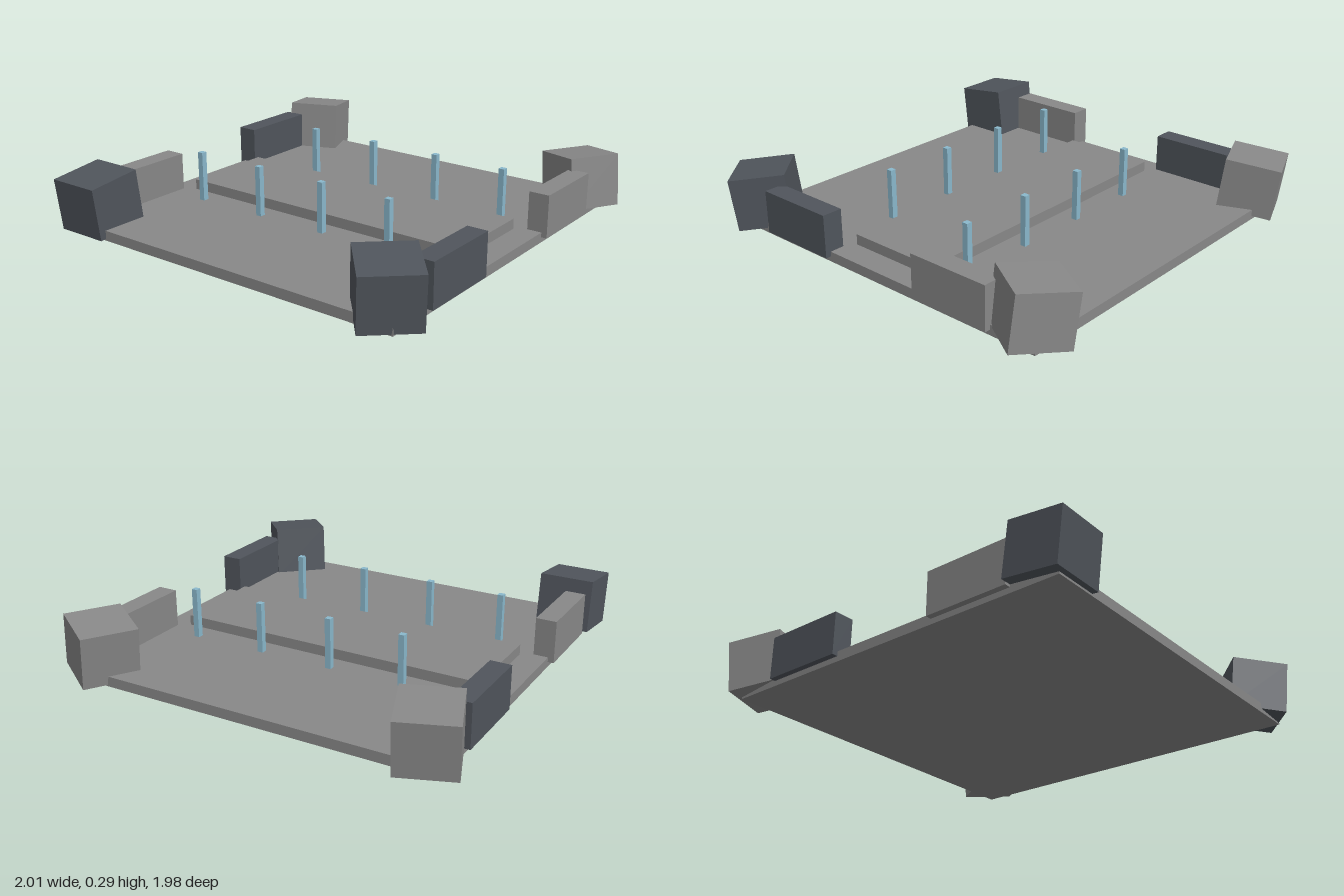
import * as THREE from 'three';

const material = (color) => new THREE.MeshStandardMaterial({ color, flatShading: true });

export function createModel() {
  const model = new THREE.Group();
  model.name = 'courtyard';
  const grey = material(0x888888);
  const dark = material(0x50555c);
  const blue = material(0x8ab8cc);

  // Adds a box given its size and centre
  const addBox = (name, size, centre, mat) => {
    const mesh = new THREE.Mesh(new THREE.BoxGeometry(...size), mat);
    mesh.name = name;
    mesh.position.set(...centre);
    model.add(mesh);
    return mesh;
  };

  // Ground slab and raised central walkway
  addBox('floor', [1.785, 0.048, 1.78], [0.002, 0.024, -0.015], grey);
  addBox('walkway', [0.465, 0.055, 1.532], [0.003, 0.07, -0.014], grey);

  // Low walls beside the front and back openings: x, z, material
  const walls = [
    [-0.462, -0.884, grey], [0.47, -0.884, dark],
    [-0.462, 0.853, dark], [0.47, 0.853, grey],
  ];
  for (const [x, z, mat] of walls) {
    addBox('wall', [0.4, 0.203, 0.098], [x, 0.127, z], mat);
  }

  // Leaning corner blocks: x, z, yaw, material
  const blocks = [
    [-0.805, -0.826, 0, dark],
    [-0.807, 0.791, 0.727, dark],
    [0.823, -0.826, -2.776, grey],
    [0.818, 0.791, -2.125, grey],
  ];
  for (const [x, z, yaw, mat] of blocks) {
    const block = addBox('cornerBlock', [0.26, 0.25, 0.26], [x, 0.146, z], mat);
    block.rotation.set(0, yaw, 0.12, 'YXZ');
  }

  // Two staggered rows of slim posts
  for (const [x, firstZ] of [[-0.318, -0.64], [0.328, -0.458]]) {
    for (let i = 0; i < 4; i++) {
      addBox('post', [0.028, 0.244, 0.028], [x, 0.166, firstZ + i * 0.364], blue);
    }
  }
  return model;
}
